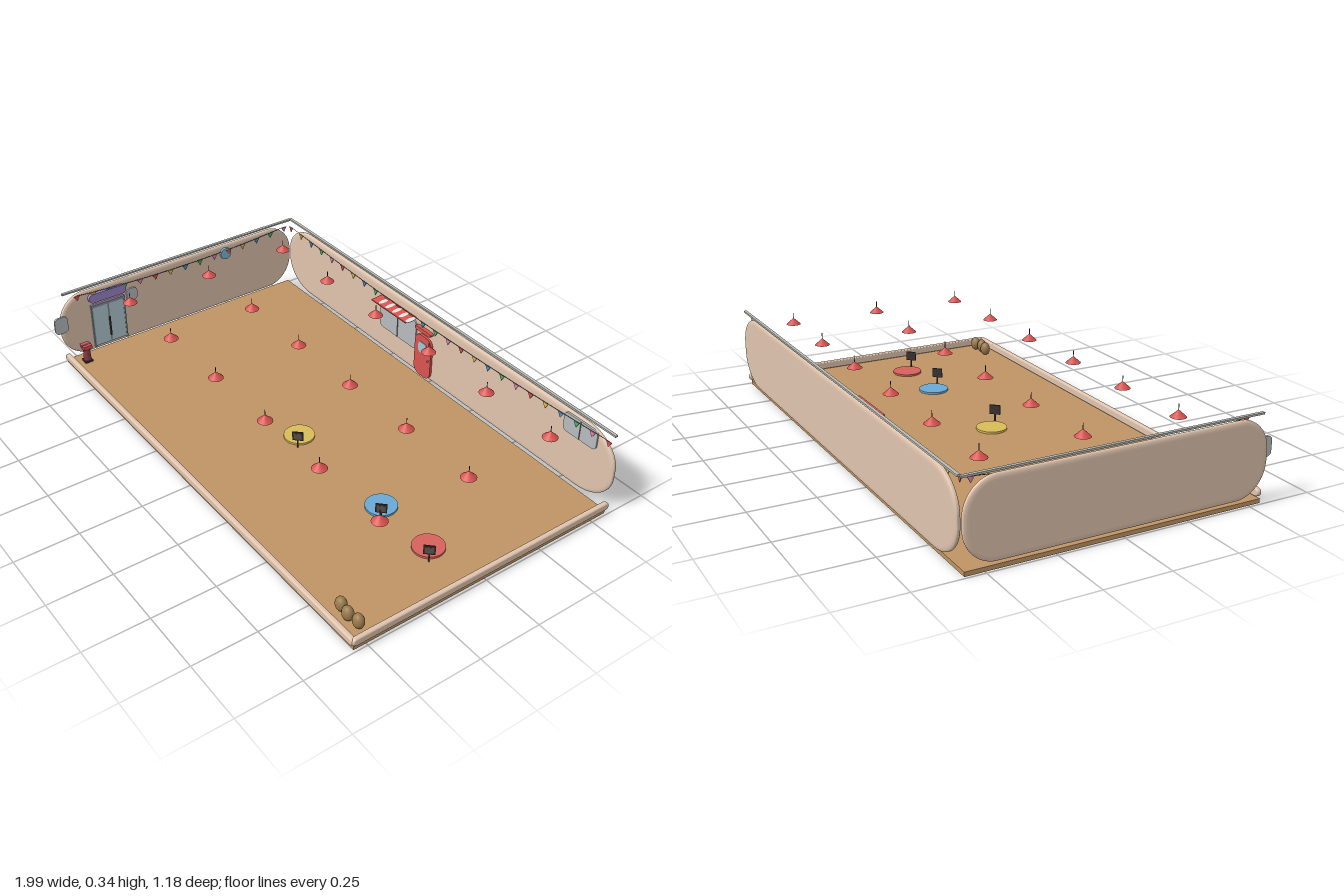
import * as THREE from 'three';

const WALL = 0xe0c4ae, RED = 0xd9534f, GLASS = 0xb8bcbe, DARK = 0x3a3230, TRIM = 0xb9bcb6;
const FLAGS = [0xd9534f, 0xe0c050, 0x4a90c8, 0x4caf6a, 0xe08ab0];

function add(parent, name, geo, color, x = 0, y = 0, z = 0) {
  const mat = new THREE.MeshStandardMaterial({ color, side: THREE.DoubleSide });
  const mesh = new THREE.Mesh(geo, mat);
  mesh.name = name;
  mesh.position.set(x, y, z);
  parent.add(mesh);
  return mesh;
}

function group(parent, name, x = 0, y = 0, z = 0) {
  const g = new THREE.Group();
  g.name = name;
  g.position.set(x, y, z);
  parent.add(g);
  return g;
}

const box = (w, h, d) => new THREE.BoxGeometry(w, h, d);

// Rectangle centred on the origin with elliptical corners
function roundedShape(w, h, rx, ry) {
  const s = new THREE.Shape(), a = w / 2, b = h / 2, H = Math.PI / 2;
  s.absellipse(a - rx, b - ry, rx, ry, 0, H);
  s.absellipse(-a + rx, b - ry, rx, ry, H, 2 * H);
  s.absellipse(-a + rx, -b + ry, rx, ry, 2 * H, 3 * H);
  s.absellipse(a - rx, -b + ry, rx, ry, 3 * H, 4 * H);
  return s;
}

function panel(w, h, r, d) {
  const geo = new THREE.ExtrudeGeometry(roundedShape(w, h, r, r), { depth: d, bevelEnabled: false, curveSegments: 8 });
  return geo.translate(0, 0, -d / 2);
}

// Soft slab with a domed edge, facing +z
function slab(w, h, rx, ry, bevel) {
  const geo = new THREE.ExtrudeGeometry(roundedShape(w - 2 * bevel, h - 2 * bevel, rx, ry), {
    depth: 0.006, bevelThickness: 0.007, bevelSize: bevel, bevelSegments: 5, curveSegments: 12,
  });
  return geo.translate(0, 0, -0.003);
}

// Window pane with a mullion
function windowPane(parent, name, w, h, x, y, split) {
  const g = group(parent, name, x, y, 0.012);
  add(g, 'pane', panel(w, h, 0.018, 0.008), GLASS);
  if (split) add(g, 'mullion', box(0.003, h * 0.95, 0.004), 0x77797a, 0, 0, 0.005);
}

// Drooping string of triangular pennants
function bunting(parent, x0, x1, n, droop) {
  const g = group(parent, 'bunting', 0, 0, 0.018);
  const at = (t) => new THREE.Vector3(x0 + (x1 - x0) * t, 0.31 - droop * 4 * t * (1 - t), 0);
  const pts = [];
  for (let i = 0; i <= 12; i++) pts.push(at(i / 12));
  add(g, 'string', new THREE.TubeGeometry(new THREE.CatmullRomCurve3(pts), 36, 0.0012, 4), DARK);
  const tri = new THREE.Shape([[-0.013, 0], [0, -0.023], [0.013, 0]].map((p) => new THREE.Vector2(...p)));
  const geo = new THREE.ExtrudeGeometry(tri, { depth: 0.003, bevelEnabled: false });
  for (let i = 0; i < n; i++) {
    const p = at(i / (n - 1));
    add(g, 'pennant', geo, FLAGS[i % 5], p.x, p.y, 0);
  }
}

function buildBackWall(root) {
  const g = group(root, 'backWall', 0, 0, -0.58);
  add(g, 'wallPanel', slab(1.97, 0.292, 0.14, 0.11, 0.018), WALL, 0.01, 0.172, 0);
  add(g, 'topTrim', box(1.96, 0.007, 0.012), TRIM, -0.005, 0.328, -0.004);
  bunting(g, -0.945, 0.965, 26, 0.03);
  windowPane(g, 'wideWindow', 0.23, 0.13, -0.187, 0.195, true);
  windowPane(g, 'smallWindow', 0.16, 0.08, 0.83, 0.272, true);

  // Red door with a light and a small canopy
  const door = group(g, 'redDoor', -0.02, 0, 0.014);
  add(door, 'doorLeaf', panel(0.1, 0.19, 0.035, 0.012), RED, 0, 0.125, 0);
  add(door, 'doorLight', panel(0.05, 0.05, 0.014, 0.006), 0xa9c6d0, 0, 0.165, 0.006);
  add(door, 'knob', new THREE.SphereGeometry(0.004, 10, 8), 0xd8b050, 0.036, 0.12, 0.008);
  add(door, 'canopy', panel(0.095, 0.016, 0.007, 0.018), RED, 0, 0.247, 0.004);

  // Striped awning, almost level
  const awning = group(g, 'stripedAwning', -0.187, 0.274, 0.04);
  awning.rotation.x = 0.06;
  add(awning, 'awningSheet', box(0.22, 0.005, 0.058), RED);
  for (let i = 0; i < 5; i++) {
    const stripe = add(awning, 'whiteStripe', new THREE.SphereGeometry(1, 14, 8), 0xe8e4de, -0.066 + i * 0.043, 0, 0);
    stripe.scale.set(0.0125, 0.0045, 0.03);
  }
}

function buildSideWall(root) {
  // Local x runs towards the back, local z into the room
  const g = group(root, 'sideWall', -0.985, 0, 0);
  g.rotation.y = Math.PI / 2;
  add(g, 'wallPanel', slab(1.14, 0.287, 0.1, 0.11, 0.018), WALL, 0.005, 0.17, 0);
  add(g, 'topTrim', box(1.12, 0.007, 0.012), TRIM, 0.02, 0.325, -0.002);
  bunting(g, -0.485, 0.535, 15, 0.024);
  windowPane(g, 'smallWindow', 0.05, 0.058, -0.235, 0.232, false);
  windowPane(g, 'endWindow', 0.058, 0.075, -0.565, 0.195, false);

  // Double door with lintel and rounded canopy
  const door = group(g, 'doubleDoor', -0.35, 0, 0.012);
  for (const s of [-1, 1]) {
    add(door, 'doorLeaf', box(0.07, 0.185, 0.01), 0xb0cad2, s * 0.036, 0.137, 0);
    add(door, 'doorJamb', box(0.006, 0.19, 0.014), 0x8298a4, s * 0.074, 0.137, 0);
  }
  add(door, 'handle', box(0.006, 0.09, 0.008), DARK, 0, 0.12, 0.007);
  add(door, 'lintel', box(0.156, 0.012, 0.016), 0x8d88a8, 0, 0.235, 0);
  add(door, 'canopy', panel(0.17, 0.04, 0.0195, 0.016), 0x9b83c9, 0, 0.275, 0.004);

  // Round blue wall disc
  const disc = add(g, 'wallDisc', new THREE.CylinderGeometry(0.026, 0.026, 0.012, 28), 0x7fbad2, 0.23, 0.275, 0.014);
  disc.rotation.x = Math.PI / 2;
}

// Hanging lamp: cone shade on a short cord
function buildLamps(root) {
  const lamps = group(root, 'pendantLamps');
  for (const z of [-0.43, -0.055, 0.32]) {
    for (let i = 0; i < 6; i++) {
      const lamp = group(lamps, 'pendantLamp', -0.82 + i * 0.327, 0, z);
      add(lamp, 'shade', new THREE.ConeGeometry(0.029, 0.026, 20), RED, 0, 0.307, 0);
      add(lamp, 'cord', new THREE.CylinderGeometry(0.0015, 0.0015, 0.026, 6), DARK, 0, 0.328, 0);
    }
  }
}

// Round mat with an angled sign board beside it
function buildMat(root, x, color) {
  const g = group(root, 'matAndSign', x, 0.016, 0.065);
  add(g, 'roundMat', new THREE.CylinderGeometry(0.06, 0.06, 0.008, 32), color, 0, 0.004, 0);
  const sign = group(g, 'sign', 0.055, 0, 0.045);
  sign.rotation.y = Math.PI / 4;
  add(sign, 'post', box(0.005, 0.036, 0.005), DARK, 0, 0.018, 0);
  add(sign, 'board', box(0.042, 0.038, 0.005), DARK, 0, 0.052, 0);
  add(sign, 'boardFace', box(0.03, 0.026, 0.003), 0x5a5048, 0, 0.052, 0.002);
}

export function createModel() {
  const root = new THREE.Group();
  root.name = 'cutawayRoom';
  add(root, 'floor', box(1.98, 0.016, 1.12), 0xbe9464, 0, 0.008, -0.01);

  buildBackWall(root);
  buildSideWall(root);

  // Low rims along the two open sides
  add(root, 'frontRim', slab(1.98, 0.032, 0.012, 0.009, 0.006), WALL, 0.003, 0.034, 0.55);
  const rim = add(root, 'sideRim', slab(1.14, 0.032, 0.012, 0.009, 0.006), WALL, 0.988, 0.034, -0.012);
  rim.rotation.y = Math.PI / 2;

  buildLamps(root);
  buildMat(root, 0.005, 0xd9bc58);
  buildMat(root, 0.513, 0x6aa9d6);
  buildMat(root, 0.775, 0xd6625c);

  // Three sacks in the front corner
  [[0.84, 0.487], [0.885, 0.494], [0.932, 0.487]].forEach(([x, z]) => {
    const sack = add(root, 'sack', new THREE.SphereGeometry(1, 18, 12), 0x9a7a4c, x, 0.044, z);
    sack.scale.set(0.024, 0.029, 0.02);
  });

  // Small red-topped post in the opposite corner
  const post = group(root, 'cornerPost', -0.93, 0.016, 0.487);
  add(post, 'base', box(0.034, 0.008, 0.034), DARK, 0, 0.004, 0);
  add(post, 'column', new THREE.CylinderGeometry(0.014, 0.016, 0.058, 12), 0x8c3a48, 0, 0.036, 0);
  add(post, 'cap', box(0.038, 0.016, 0.038), RED, 0, 0.073, 0);
  add(post, 'capStripe', box(0.01, 0.018, 0.04), 0x7a4a78, 0, 0.073, 0);

  return root;
}
